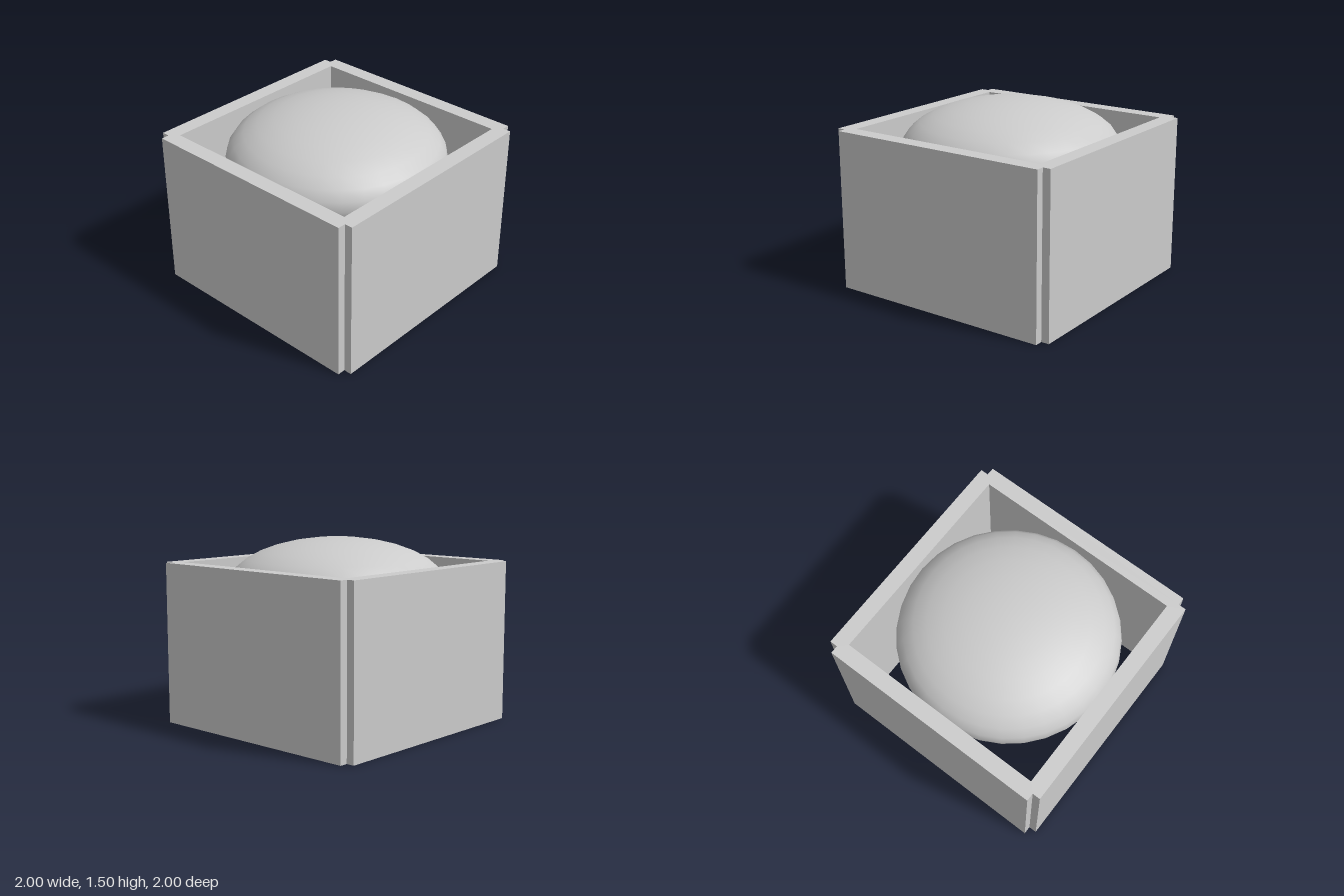
import * as THREE from 'three';

const HEIGHT = 1.305; // wall height
const OUTER = 1;      // half width of the box
const INNER = 0.87;   // half width of the opening
const NOTCH = 0.065;  // square cut in each vertical corner

export function createModel() {
  const group = new THREE.Group();
  const grey = new THREE.MeshStandardMaterial({ color: 0xcccccc });

  // Open square frame: one notched corner repeated around the centre
  const outline = [];
  for (let i = 0; i < 4; i++) {
    const corner = [[OUTER, OUTER - NOTCH], [OUTER - NOTCH, OUTER - NOTCH], [OUTER - NOTCH, OUTER]];
    for (const [x, y] of corner) {
      outline.push(new THREE.Vector2(x, y).rotateAround(new THREE.Vector2(), i * Math.PI / 2));
    }
  }
  const shape = new THREE.Shape(outline);
  shape.holes.push(new THREE.Path([
    new THREE.Vector2(-INNER, -INNER), new THREE.Vector2(-INNER, INNER),
    new THREE.Vector2(INNER, INNER), new THREE.Vector2(INNER, -INNER),
  ]));
  const frameGeometry = new THREE.ExtrudeGeometry(shape, { depth: HEIGHT, bevelEnabled: false });
  frameGeometry.rotateX(-Math.PI / 2);
  const frame = new THREE.Mesh(frameGeometry, grey);
  frame.name = 'boxWalls';
  group.add(frame);

  // Flattened ball wedged between the walls, rising above the rim
  const domeGeometry = new THREE.SphereGeometry(1, 32, 16);
  domeGeometry.scale(0.885, 0.393, 0.885);
  const dome = new THREE.Mesh(domeGeometry, grey);
  dome.name = 'flattenedBall';
  dome.position.y = 1.112;
  group.add(dome);

  return group;
}
